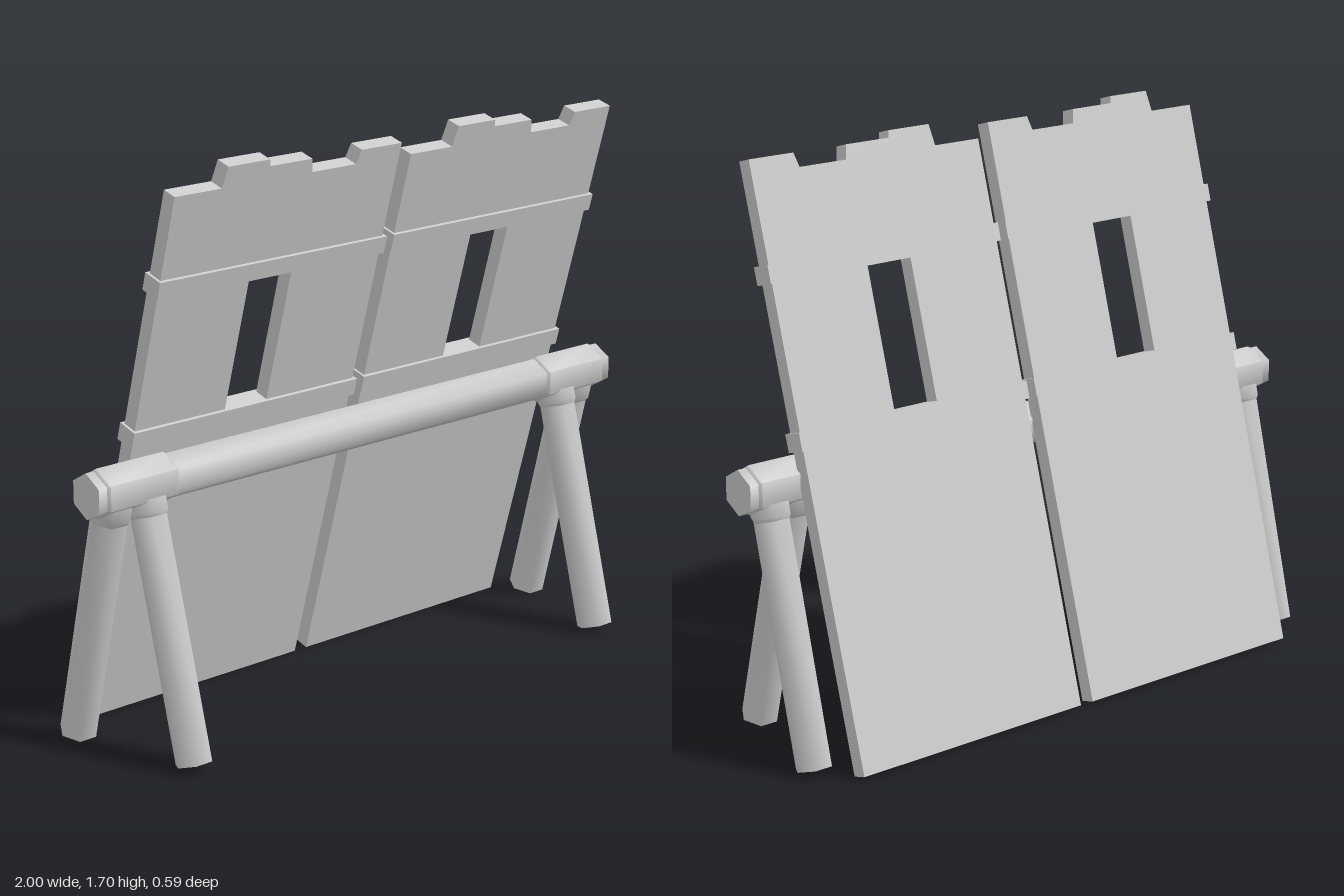
import * as THREE from 'three';
import { toCreasedNormals } from 'three/addons/utils/BufferGeometryUtils.js';

const material = new THREE.MeshStandardMaterial({ color: 0xcccccc });

function addMesh(parent, geometry, name) {
  const mesh = new THREE.Mesh(geometry, material);
  mesh.name = name;
  parent.add(mesh);
  return mesh;
}

// Six-sided turned solid along +y from [radius, height] pairs, corners on +-x
function hexSolid(profile) {
  const points = profile.map(([r, y]) => new THREE.Vector2(r, y));
  const geometry = new THREE.LatheGeometry(points, 6).rotateY(Math.PI / 2);
  return toCreasedNormals(geometry, 1.1);
}

// Capped bar with chamfered ends
function chamferedBar(radius, innerRadius, from, to, chamfer) {
  return hexSolid([
    [0, from], [innerRadius, from], [radius, from + chamfer],
    [radius, to - chamfer], [innerRadius, to], [0, to],
  ]);
}

// Shield board with a stepped top edge and a window slot
function boardGeometry() {
  const thickness = 0.047;
  const outline = [
    [-0.815, 0], [-0.013, 0], [-0.013, 1.733], [-0.163, 1.733], [-0.175, 1.691],
    [-0.335, 1.691], [-0.345, 1.733], [-0.495, 1.733], [-0.5, 1.754],
    [-0.645, 1.754], [-0.655, 1.691], [-0.815, 1.691],
  ].map(([x, y]) => new THREE.Vector2(x, y));
  const slot = [
    [-0.495, 0.96], [-0.495, 1.4], [-0.342, 1.4], [-0.342, 0.96],
  ].map(([x, y]) => new THREE.Vector2(x, y));
  const shape = new THREE.Shape(outline);
  shape.holes.push(new THREE.Path(slot));
  return new THREE.ExtrudeGeometry(shape, { depth: thickness, bevelEnabled: false })
    .translate(0, 0, -thickness / 2);
}

export function createModel() {
  const model = new THREE.Group();
  model.name = 'shieldBarrier';

  // Two leaning boards, each with two cross battens
  const board = boardGeometry();
  const batten = new THREE.BoxGeometry(0.82, 0.053, 0.067);
  [['rightPanel', 0], ['leftPanel', 0.848]].forEach(([name, x]) => {
    const panel = new THREE.Group();
    panel.name = name;
    addMesh(panel, board, 'board');
    addMesh(panel, batten, 'lowerBatten').position.set(-0.413, 0.947, 0);
    addMesh(panel, batten, 'upperBatten').position.set(-0.413, 1.415, 0);
    panel.position.set(x, 0.0065, -0.268);
    panel.rotation.x = 0.278;
    model.add(panel);
  });

  // Trestle frame, with its origin on the beam axis
  const frame = new THREE.Group();
  frame.name = 'trestle';
  frame.position.set(0, 0.793, 0.042);
  model.add(frame);

  const beam = hexSolid([[0, -1], [0.067, -1], [0.067, 1], [0, 1]]);
  addMesh(frame, beam, 'beam').rotation.z = -Math.PI / 2;

  const sleeve = chamferedBar(0.073, 0.067, 0.725, 0.972, 0.009);
  const collar = chamferedBar(0.062, 0.056, 0, 0.094, 0.012);
  const leg = hexSolid([[0, 0], [0.056, 0], [0.056, 0.8], [0, 0.8]]);

  for (const side of [-1, 1]) {
    const prefix = side > 0 ? 'left' : 'right';
    addMesh(frame, sleeve, prefix + 'Sleeve').rotation.z = -side * Math.PI / 2;

    // Splayed legs hang from the beam: foot offset in z sets the lean
    for (const [end, x, footZ] of [['Front', 0.807, 0.207], ['Back', 0.908, -0.196]]) {
      const support = new THREE.Group();
      support.name = prefix + end + 'Leg';
      support.position.x = side * x;
      support.rotation.x = Math.atan2(footZ, -0.773);
      addMesh(support, leg, 'leg');
      addMesh(support, collar, 'collar');
      frame.add(support);
    }
  }
  return model;
}
